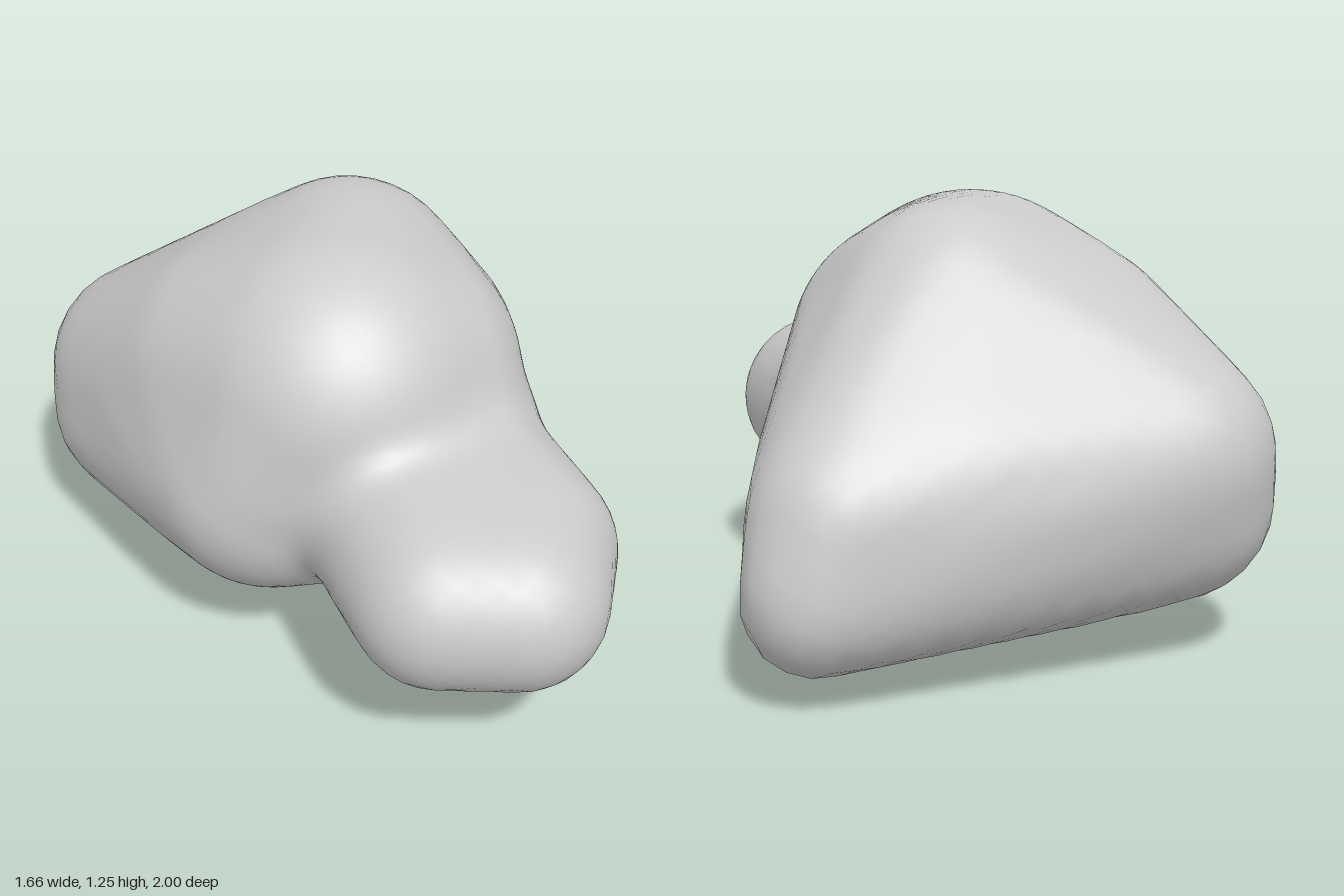
import * as THREE from 'three';
import { mergeVertices } from 'three/addons/utils/BufferGeometryUtils.js';

// welded sphere of unit directions
function sphere(detail) {
  const g = new THREE.IcosahedronGeometry(1, detail);
  g.deleteAttribute('uv');
  g.deleteAttribute('normal');
  return mergeVertices(g, 1e-4);
}

function directions(geometry) {
  const p = geometry.attributes.position;
  return Array.from({ length: p.count }, (_, i) => new THREE.Vector3().fromBufferAttribute(p, i).normalize());
}

// point inside both lobes, from which the surface is measured outward
const core = new THREE.Vector3(0.25, 0.55, 0.15);

// each lobe is a skin stretched over a few balls: x, y, z, radius
const bodyBalls = [
  [-0.54, 0.44, -0.27, 0.29], [-0.52, 0.57, -0.3, 0.31],  // right-hand bulge
  [0.36, 0.28, -0.8, 0.2], [0.43, 0.33, -0.87, 0.11],     // back end
  [0.31, 0.47, -0.71, 0.25],                              // back slope
  [0.05, 0.79, 0.11, 0.46], [0.07, 0.89, -0.17, 0.355],   // crown
  [-0.2, 0.74, -0.03, 0.39], [0.17, 0.78, 0.05, 0.405],   // shoulders
  [0.22, 0.53, 0.03, 0.385], [0.44, 0.23, -0.5, 0.16],    // left flank
  [-0.13, 0.55, 0.2, 0.35], [0.28, 0.31, -0.35, 0.31],    // front flank, underside
];
const knobBalls = [
  [0.36, 0.56, 0.22, 0.29],                               // neck
  [0.26, 0.55, 0.5, 0.27], [0.57, 0.54, 0.55, 0.255],     // middle
  [0.34, 0.535, 0.76, 0.24], [0.55, 0.535, 0.76, 0.24],   // tip
];

// distance from the core to the stretched skin along a direction
function skin(balls, normals) {
  const planes = normals.map((n) => Math.max(...balls.map(([x, y, z, r]) =>
    (x - core.x) * n.x + (y - core.y) * n.y + (z - core.z) * n.z + r)));
  return (d) => {
    let best = Infinity;
    for (let i = 0; i < normals.length; i++) {
      const c = normals[i].dot(d);
      if (c > 0.05) best = Math.min(best, planes[i] / c);
    }
    return best;
  };
}

// maximum of two distances with a rounded crease
function smoothMax(a, b, k) {
  const h = Math.max(k - Math.abs(a - b), 0) / k;
  return Math.max(a, b) + h * h * k * 0.25;
}

export function createModel() {
  const group = new THREE.Group();
  group.name = 'boulder';
  const normals = directions(sphere(14));
  const body = skin(bodyBalls, normals);
  const knob = skin(knobBalls, normals);

  const geometry = sphere(18);
  const pos = geometry.attributes.position;
  directions(geometry).forEach((d, i) => {
    const v = d.clone().multiplyScalar(smoothMax(body(d), knob(d), 0.14)).add(core);
    pos.setXYZ(i, v.x, Math.max(v.y, 0), v.z);
  });
  geometry.computeVertexNormals();

  const mesh = new THREE.Mesh(geometry, new THREE.MeshStandardMaterial({ color: 0xcccccc }));
  mesh.name = 'boulderWithKnob';
  group.add(mesh);
  return group;
}
